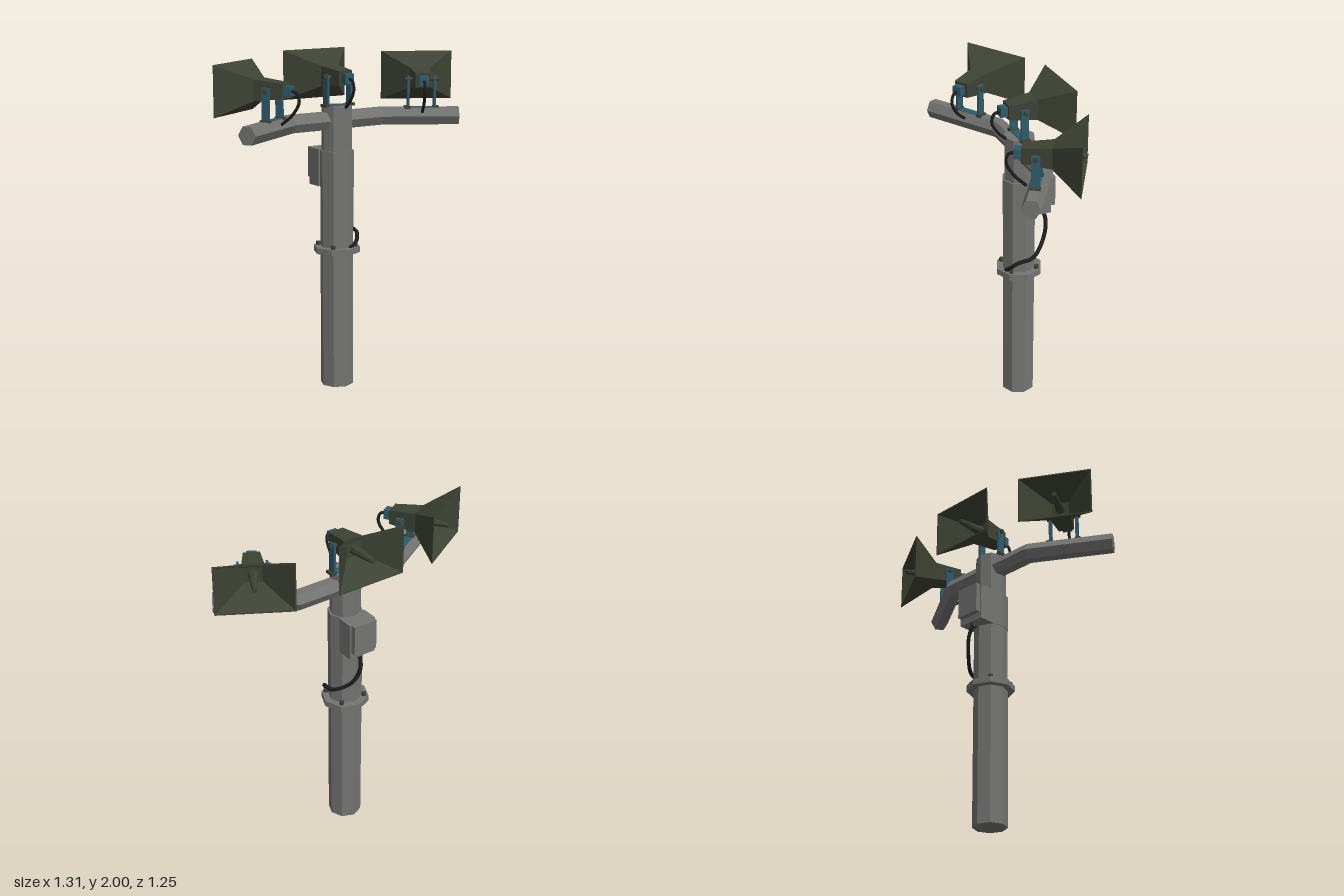
import * as THREE from 'three';

const mat = (name, color) => {
  const m = new THREE.MeshStandardMaterial({ color, flatShading: true });
  m.name = name;
  return m;
};

// Skin a list of equal-length rings (counter-clockwise about the path) and cap both ends
function loft(rings) {
  const pos = [], idx = [], n = rings[0].length, last = (rings.length - 1) * n;
  rings.forEach(r => r.forEach(p => pos.push(p.x, p.y, p.z)));
  for (let i = 0; i < rings.length - 1; i++) {
    for (let k = 0; k < n; k++) {
      const a = i * n + k, b = i * n + (k + 1) % n;
      idx.push(a, b, b + n, a, b + n, a + n);
    }
  }
  for (let k = 1; k < n - 1; k++) {
    idx.push(0, k + 1, k);
    idx.push(last, last + k, last + k + 1);
  }
  const g = new THREE.BufferGeometry();
  g.setAttribute('position', new THREE.Float32BufferAttribute(pos, 3));
  g.setIndex(idx);
  const flat = g.toNonIndexed();
  flat.computeVertexNormals();
  return flat;
}

export function createModel() {
  const steel = mat('grey steel', 0x747473);
  const olive = mat('olive paint', 0x3d4334);
  const teal = mat('blue bracket', 0x2e5b6c);
  const rubber = mat('black rubber', 0x1c1d1c);
  const V = (x, y, z) => new THREE.Vector3(x, y, z);
  const rad = THREE.MathUtils.degToRad;

  const add = (parent, name, geo, material, x = 0, y = 0, z = 0) => {
    const m = new THREE.Mesh(geo, material);
    m.name = name;
    m.position.set(x, y, z);
    parent.add(m);
    return m;
  };
  const box = (w, h, d) => new THREE.BoxGeometry(w, h, d);
  const cable = (pts, r) =>
    new THREE.TubeGeometry(new THREE.CatmullRomCurve3(pts), 24, r, 6);

  const model = new THREE.Group();
  model.name = 'loudspeakerPole';

  // Pole, turned so that its local -z is the way the middle horn points
  const pole = new THREE.Group();
  pole.name = 'pole';
  pole.position.set(-0.05, 0, -0.083);
  pole.rotation.y = rad(41.7);
  model.add(pole);
  const octagon = (name, r, y0, y1) =>
    add(pole, name, new THREE.CylinderGeometry(r, r, y1 - y0, 8), steel, 0, (y0 + y1) / 2, 0);
  octagon('lowerPole', 0.099, 0, 1.22);
  octagon('poleSleeve', 0.102, 1.21, 1.43);
  octagon('upperPole', 0.09, 1.43, 1.69);
  octagon('poleCollar', 0.14, 0.82, 0.855);
  for (let i = 0; i < 4; i++) {
    const a = Math.PI / 4 + i * Math.PI / 2;
    add(pole, 'collarBolt', new THREE.CylinderGeometry(0.014, 0.014, 0.022, 6), olive,
      0.112 * Math.sin(a), 0.865, 0.112 * Math.cos(a));
  }

  // Junction box on the back of the pole
  add(pole, 'junctionBox', box(0.17, 0.22, 0.1), steel, 0, 1.32, -0.115);
  add(pole, 'junctionBoxCover', box(0.15, 0.18, 0.03), steel, 0, 1.34, -0.18);
  add(pole, 'cableGland', new THREE.CylinderGeometry(0.018, 0.018, 0.03, 8), olive, 0, 1.2, -0.14);

  // Power cable winding from the box down to the collar
  add(model, 'powerCable', cable([
    V(-0.145, 1.21, -0.188), V(-0.15, 1.12, -0.215), V(-0.1, 1.02, -0.215), V(0.01, 0.95, -0.19),
    V(0.065, 0.93, -0.12), V(0.065, 0.88, -0.06), V(0.03, 0.85, -0.03),
  ], 0.012), rubber);

  // Bent cross arm: hexagonal section with mitred corners
  const path = [V(-0.44, 1.605, 0.603), V(-0.29, 1.605, 0.125), V(0.185, 1.605, -0.3), V(0.642, 1.605, -0.38)];
  const up = V(0, 1, 0);
  const armRings = path.map((p, i) => {
    const before = p.clone().sub(path[Math.max(i - 1, 0)]).normalize();
    const after = path[Math.min(i + 1, 3)].clone().sub(p).normalize();
    const t = before.clone().add(after).normalize();
    const inner = i === 1 || i === 2;
    const width = 0.054 / (inner ? t.dot(after) : 1);
    const side = up.clone().cross(t);
    return Array.from({ length: 6 }, (_, k) => {
      const a = k * Math.PI / 3;
      return p.clone().addScaledVector(side, width * Math.cos(a)).addScaledVector(up, 0.058 * Math.sin(a));
    });
  });
  add(model, 'crossArm', loft(armRings), steel);

  // Horn: cavity, rim, flare and driver housing in one skin; local -z is the mouth
  const rect = (w, h, z, y = 0) => [
    V(w / 2, y - h / 2, z), V(w / 2, y + h / 2, z), V(-w / 2, y + h / 2, z), V(-w / 2, y - h / 2, z),
  ];
  const hornGeo = loft([
    rect(0.1, 0.09, 0.16), rect(0.415, 0.275, 0), rect(0.432, 0.29, 0),
    rect(0.122, 0.12, 0.165), rect(0.092, 0.085, 0.33),
  ]);

  function horn(x, y, z, degrees, footY) {
    const g = new THREE.Group();
    g.name = 'hornSpeaker';
    g.position.set(x, y, z);
    g.rotation.y = rad(degrees);
    model.add(g);
    add(g, 'hornBody', hornGeo, olive);
    // Tapered plug standing in the mouth
    add(g, 'hornPlug', new THREE.CylinderGeometry(0.03, 0.014, 0.18, 8), olive, 0, 0, 0.075).rotation.x = Math.PI / 2;
    add(g, 'rearConnector', box(0.056, 0.056, 0.045), teal, 0, 0, 0.35);
    // Two upright plates with pivot bolts and feet
    const foot = footY - y;
    for (const s of [-1, 1]) {
      add(g, 'bracketPlate', box(0.014, 0.02 - foot, 0.046), teal, s * 0.079, (foot + 0.02) / 2, 0.25);
      add(g, 'bracketFoot', box(0.034, 0.016, 0.056), olive, s * 0.085, foot + 0.006, 0.25);
      add(g, 'pivotBolt', new THREE.CylinderGeometry(0.014, 0.014, 0.05, 6), olive, s * 0.075, 0, 0.25)
        .rotation.z = Math.PI / 2;
    }
    add(g, 'bracketBase', box(0.16, 0.01, 0.046), teal, 0, foot + 0.003, 0.25);
    // Signal cable looping down to the support
    add(g, 'signalCable', cable([
      V(0, 0, 0.36), V(0, -0.01, 0.4), V(0, -0.06, 0.415), V(0, -0.13, 0.375), V(0, -0.19, 0.305),
    ], 0.009), rubber);
  }
  horn(-0.588, 1.822, 0.25, 72, 1.65);
  horn(-0.21, 1.855, -0.27, 41.7, 1.688);
  horn(0.37, 1.822, -0.585, 12, 1.65);

  return model;
}
